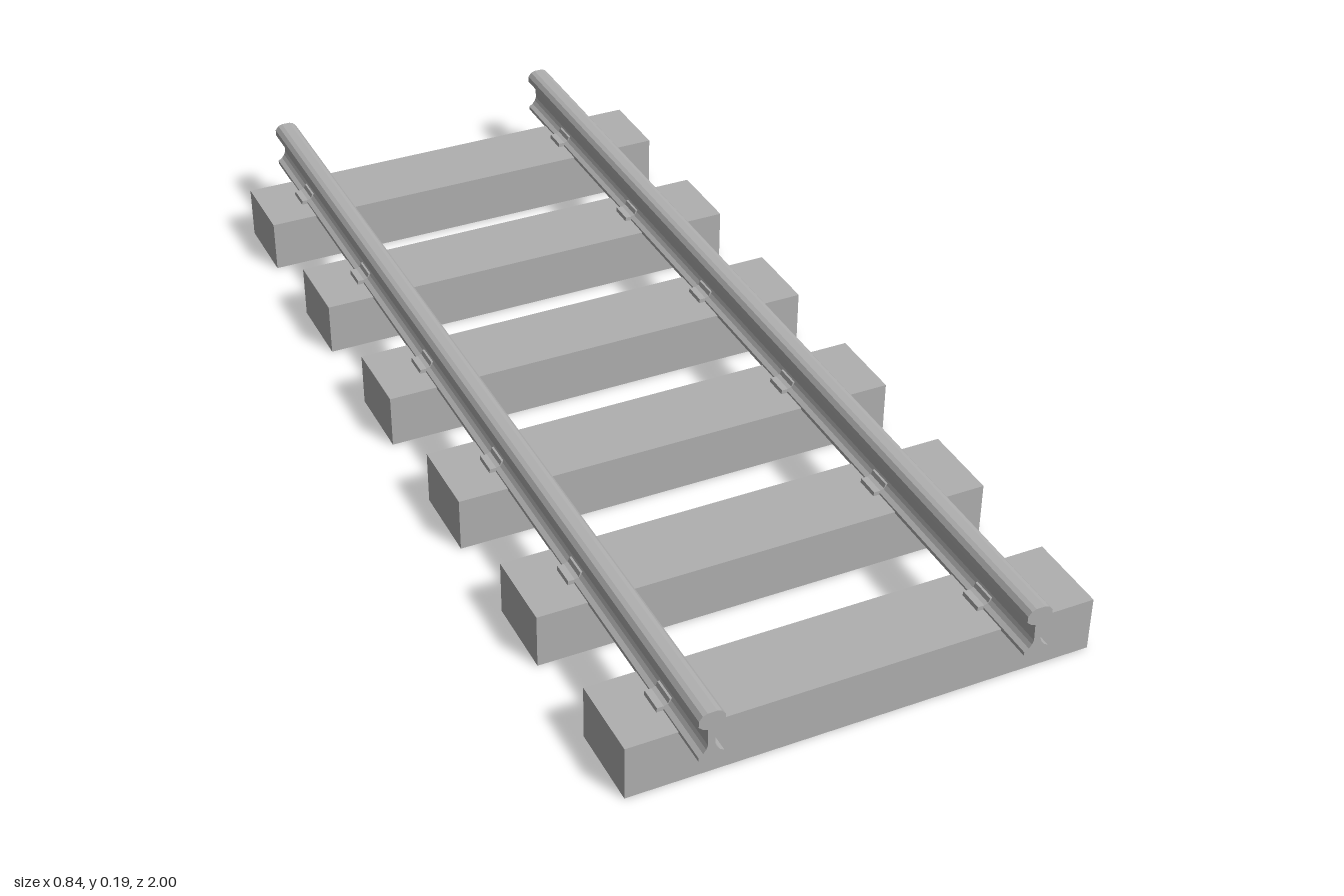
import * as THREE from 'three';

const RAIL_X = [-0.308, 0.267];
const SLEEPERS = 6;

// Mirrors a half profile [x, y] (listed top to bottom) and extrudes it along z
function extrudeProfile(half, length) {
  const left = half.map(([x, y]) => new THREE.Vector2(-x, y));
  const right = half.map(([x, y]) => new THREE.Vector2(x, y)).reverse();
  const geo = new THREE.ExtrudeGeometry(new THREE.Shape([...left, ...right]), {
    depth: length, bevelEnabled: false,
  });
  return geo.translate(0, 0, -length / 2);
}

export function createModel() {
  const group = new THREE.Group();
  const grey = new THREE.MeshStandardMaterial({ color: 0xb0b0b0, flatShading: true });
  grey.name = 'plain grey';

  const add = (geo, name, x, y, z) => {
    const mesh = new THREE.Mesh(geo, grey);
    mesh.name = name;
    mesh.position.set(x, y, z);
    group.add(mesh);
  };

  // Rail section: rounded head, thin web, flared foot
  const railGeo = extrudeProfile([
    [0.008, 0.190], [0.016, 0.187], [0.0226, 0.179], [0.0226, 0.167],
    [0.016, 0.161], [0.007, 0.157], [0.006, 0.125], [0.009, 0.118],
    [0.014, 0.111], [0.022, 0.106], [0.022, 0.099],
  ], 2);
  RAIL_X.forEach((x, i) => add(railGeo, i ? 'leftRail' : 'rightRail', x, 0, 0));

  // Clip section: flat tabs rising over the rail foot on both sides
  const clipGeo = extrudeProfile([
    [0.006, 0.122], [0.011, 0.121], [0.014, 0.113], [0.021, 0.110],
    [0.033, 0.110], [0.034, 0.101],
  ], 0.045);
  const sleeperGeo = new THREE.BoxGeometry(0.842, 0.102, 0.153);

  // Evenly spaced sleepers, each with a clip under both rails
  for (let i = 0; i < SLEEPERS; i++) {
    const z = -0.834 + i * 0.338;
    add(sleeperGeo, 'sleeper', 0, 0.051, z);
    for (const x of RAIL_X) add(clipGeo, 'railClip', x, 0, z);
  }
  return group;
}
